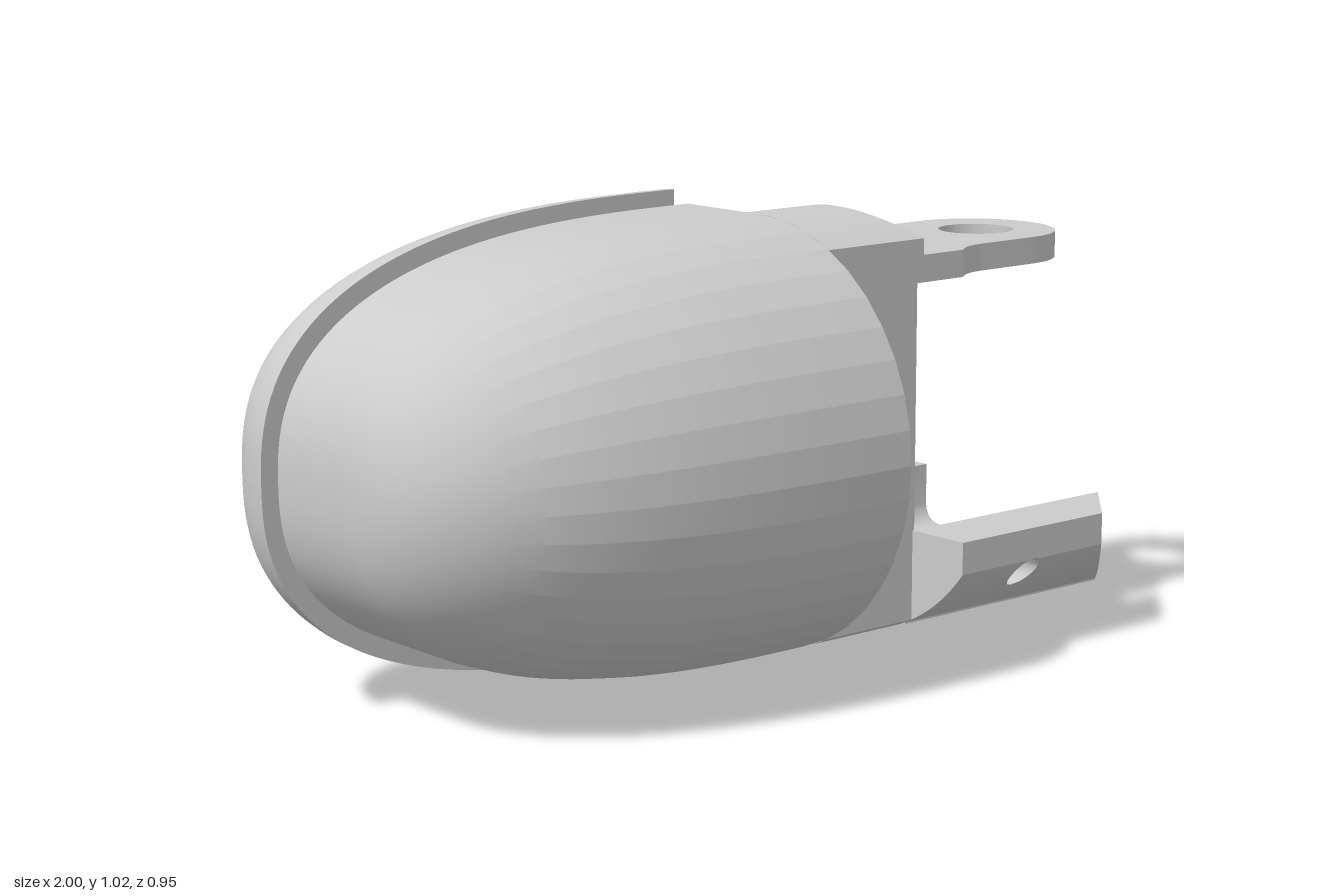
import * as THREE from 'three';
import { toCreasedNormals } from 'three/addons/utils/BufferGeometryUtils.js';

const YC = 0.51, R = 0.475, LEN = 1.08; // axis height, body radius, dome length
const material = new THREE.MeshStandardMaterial({ color: 0xcccccc });
const clamp = THREE.MathUtils.clamp;
const arcHeight = z => Math.sqrt(Math.max(0, R * R - z * z));

function part(name, geometry, crease = 0.5) {
  const mesh = new THREE.Mesh(toCreasedNormals(geometry, crease), material);
  mesh.name = name;
  return mesh;
}

// Evenly spaced stations from high z to low z, plus extra ones where the shape breaks
function stations(from, to, n, extra) {
  const zs = [...extra];
  for (let i = 0; i <= n; i++) zs.push(from + (to - from) * i / n);
  return zs.sort((a, b) => b - a);
}

// Solid through counter-clockwise xy sections, front to back
function loft(zs, section) {
  const rings = zs.map(z => section(z).map(([x, y]) => new THREE.Vector3(x, y, z)));
  const pos = [], tri = (...v) => v.forEach(p => pos.push(p.x, p.y, p.z));
  const n = rings[0].length;
  for (let k = 0; k + 1 < rings.length; k++) {
    const f = rings[k], b = rings[k + 1];
    for (let i = 0; i < n; i++) {
      const j = (i + 1) % n;
      tri(f[i], b[i], f[j]);
      tri(f[j], b[i], b[j]);
    }
  }
  const cap = (ring, flip) => {
    const flat = ring.map(p => new THREE.Vector2(p.x, p.y));
    for (const [a, b, c] of THREE.ShapeUtils.triangulateShape(flat, []))
      flip ? tri(ring[a], ring[c], ring[b]) : tri(ring[a], ring[b], ring[c]);
  };
  cap(rings[0], false);
  cap(rings[rings.length - 1], true);
  const g = new THREE.BufferGeometry();
  g.setAttribute('position', new THREE.Float32BufferAttribute(pos, 3));
  return g;
}

// Blunt bullet profile [x, radius] from the open end to the nose, moved inwards by inset
function bullet(endX, radius, inset = 0, n = 48) {
  const at = u => {
    const s = Math.sin(u * Math.PI / 2);
    return [endX - LEN * s, radius * Math.max(0, 1 - s ** 2.8) ** 0.4];
  };
  const pts = [];
  for (let i = 0; i <= n; i++) {
    const u = i / n, p = at(u);
    if (i === 0) pts.push([p[0], p[1] - inset]);
    else if (i === n) pts.push([p[0] + inset, 0]);
    else {
      const a = at(u - 0.005), b = at(u + 0.005);
      const dx = b[0] - a[0], dy = b[1] - a[1], l = Math.hypot(dx, dy);
      pts.push([p[0] - inset * dy / l, Math.max(0, p[1] + inset * dx / l)]);
    }
  }
  return pts;
}

// Flat plate from a plan outline in x and z
function plate(shape, top, thickness, holes) {
  for (const [x, r] of holes) shape.holes.push(new THREE.Path().absarc(x, 0, r, 0, Math.PI * 2, true));
  return new THREE.ExtrudeGeometry(shape, { depth: thickness, bevelEnabled: false, curveSegments: 20 })
    .rotateX(Math.PI / 2).translate(0, top, 0);
}

// Round front half and straight back half of the body
function body() {
  const g = new THREE.Group();
  g.name = 'body';
  const half = bullet(0.12, R);
  const pts = [...half].reverse().map(([x, r]) => new THREE.Vector2(r, x));
  pts.push(new THREE.Vector2(0, 0.12));
  g.add(part('roundedFront', new THREE.LatheGeometry(pts, 20, -Math.PI / 2, Math.PI)
    .rotateZ(-Math.PI / 2).translate(0, YC, 0), 0.14));
  const outline = [...half, ...half.slice(0, -1).reverse().map(([x, y]) => [x, -y])];
  const shape = new THREE.Shape(outline.map(([x, y]) => new THREE.Vector2(x, y)));
  g.add(part('straightBack', new THREE.ExtrudeGeometry(shape, { depth: 0.235, bevelEnabled: false })
    .translate(0, YC, -0.235)));
  return g;
}

// Back cover with rounded rim and a stepped screw hole, in an upper and a lower half
function cover() {
  const g = new THREE.Group();
  g.name = 'backCover';
  const zs = [...Array(15)].map((_, i) => -0.235 - 0.24 * Math.sin(i / 14 * Math.PI / 2));
  zs.push(-0.3, -0.3001, -0.4, -0.4001, -0.375, -0.3751);
  zs.sort((a, b) => b - a);
  const section = (z, side) => {
    const s = Math.min(1, (-0.235 - z) / 0.24);
    const hole = z < -0.4 ? 0.11 : z < -0.3 ? 0.07 : 0.0001;
    const pts = [[0.08, 0], ...bullet(0.08, 0.51, 0.24 * (1 - Math.sqrt(1 - s * s)))];
    for (let i = 0; i <= 12; i++) {
      const a = Math.PI * (1 - i / 12);
      pts.push([-0.07 + hole * Math.cos(a), hole * Math.sin(a)]);
    }
    if (side > 0) return pts.map(([x, y]) => [x, YC + y]);
    // the lower rim is cut away near the open end
    return pts.reverse().map(([x, y]) => [x, YC - (x > -0.18 && z > -0.3751 ? Math.min(y, 0.43) : y)]);
  };
  g.add(part('coverUpper', loft(zs, z => section(z, 1))));
  g.add(part('coverLower', loft(zs, z => section(z, -1))));
  return g;
}

// Joint block: cylinder piece with flat front, notch, hinge clearance, bottom groove and slanted bore
function block() {
  const g = new THREE.Group();
  g.name = 'jointBlock';
  const x1 = 0.38, hy = 0.56, a = 0.043, b = 0.03, ledge = 0.895;
  const left = z => z > -0.11 ? 0.12
    : z > -0.18 ? 0.205 + (-0.11 - z) * 1.21
      : z > -0.37 ? 0.29 - (-0.18 - z) * 0.895 : 0.12;
  const bottom = z => Math.abs(z) < 0.11 ? 0.075 : YC - arcHeight(z);
  const zs = stations(0.22, -R, 70,
    [0.11, 0.1099, -0.1099, -0.11, -0.1101, -0.18, -0.37, -0.278, -0.2783, -0.473]);
  // edge along the middle of the bore, which moves in x with z
  const split = (z, side) => {
    const x0 = left(z), cx = 0.355 + z, h = arcHeight(z), xs = [x0];
    for (let i = 0; i <= 14; i++) xs.push(clamp(cx - a * Math.cos(Math.PI * i / 14), x0, x1));
    xs.push(x1);
    return xs.map(x => [x, clamp(hy + side * b * Math.sqrt(Math.max(0, 1 - ((x - cx) / a) ** 2)), YC - h, YC + h)]);
  };
  g.add(part('blockLower', loft(zs, z =>
    [[left(z), bottom(z)], [x1, bottom(z)], ...split(z, -1).reverse()])));
  // above the ledge the end is hollowed by a cylinder around the hinge axis
  g.add(part('blockUpper', loft(zs, z => {
    const yt = YC + arcHeight(z), y = Math.min(yt, ledge);
    const xe = yt > ledge ? 0.78 - Math.sqrt(0.1936 - z * z) : x1;
    return [...split(z, 1), [x1, y], [xe, y], [xe, yt], [left(z), yt]];
  })));
  return g;
}

// Upper hinge tab with a rounded end and a slanted back edge
function tab() {
  const s = new THREE.Shape();
  s.moveTo(0.375, 0.22);
  s.lineTo(0.375, -0.347);
  s.lineTo(0.52, -0.347);
  s.lineTo(0.52, -0.24);
  s.quadraticCurveTo(0.53, -0.18, 0.6, -0.18);
  s.lineTo(0.78, -0.18);
  s.absarc(0.78, 0, 0.18, -Math.PI / 2, Math.PI / 2, false);
  s.lineTo(0.62, 0.18);
  s.quadraticCurveTo(0.56, 0.18, 0.52, 0.22);
  const geo = plate(s, 0.895, 0.06, [[0.78, 0.085], [0.44, 0.05]]);
  const p = geo.attributes.position;
  for (let i = 0; i < p.count; i++)
    if (p.getZ(i) < -0.3 && p.getY(i) > 0.87) p.setZ(i, -0.278);
  return part('upperHingeTab', geo);
}

// Lower hinge tray: floor plate with a pivot hole, and two walls with cross holes
function tray() {
  const g = new THREE.Group();
  g.name = 'lowerHingeTray';
  const x0 = 0.375, hx = 0.595, hy = 0.185, hr = 0.036;
  const low = z => z > 0.2 || z < -0.11 ? YC - arcHeight(z) : 0.075;
  const high = z => {
    if (z > 0.22 || z < -0.26) return 0.29;
    const d = z > 0 ? z - 0.17 : -0.21 - z;
    return d > 0 ? 0.195 - Math.sqrt(Math.max(0, 0.0025 - d * d)) : 0.145;
  };
  const end = z => {
    if (z > 0) return Math.min(1, 0.815 + 0.375 - z);
    if (z > -0.17) return 1;
    if (z > -0.26) return 0.98 - Math.sqrt(Math.max(0, 0.0081 - (z + 0.26) ** 2));
    return z > -0.36 ? 0.89 : 0.89 + (z + 0.36);
  };
  // upright edge that follows one side of the cross hole
  const edge = (z, side) => {
    const ys = [low(z)];
    for (let i = 0; i <= 14; i++) ys.push(clamp(hy - hr * Math.cos(Math.PI * i / 14), low(z), high(z)));
    ys.push(high(z));
    return ys.map(y => [hx + side * Math.sqrt(Math.max(0, hr * hr - (y - hy) ** 2)), y]);
  };
  const wall = (name, zs) => {
    g.add(part(name + 'Inner', loft(zs, z => [[x0, low(z)], ...edge(z, -1), [x0, high(z)]])));
    g.add(part(name + 'Outer', loft(zs, z =>
      [[end(z), low(z)], [end(z), high(z)], ...edge(z, 1).reverse()])));
  };
  wall('frontWall', stations(0.375, 0.17, 30, [0.2201, 0.22, 0.2001, 0.2, 0.19]));
  wall('backWall', stations(-0.1101, -0.421, 40, [-0.1699, -0.17, -0.21, -0.26, -0.2601, -0.36]));
  const s = new THREE.Shape([[x0, -0.11], [1, -0.11], [1, 0.17], [x0, 0.17]]
    .map(([x, z]) => new THREE.Vector2(x, z)));
  g.add(part('trayFloor', plate(s, 0.145, 0.07, [[0.78, 0.075]])));
  return g;
}

export function createModel() {
  const model = new THREE.Group();
  model.name = 'hingedCapJoint';
  model.add(body(), cover(), block(), tab(), tray());
  return model;
}
